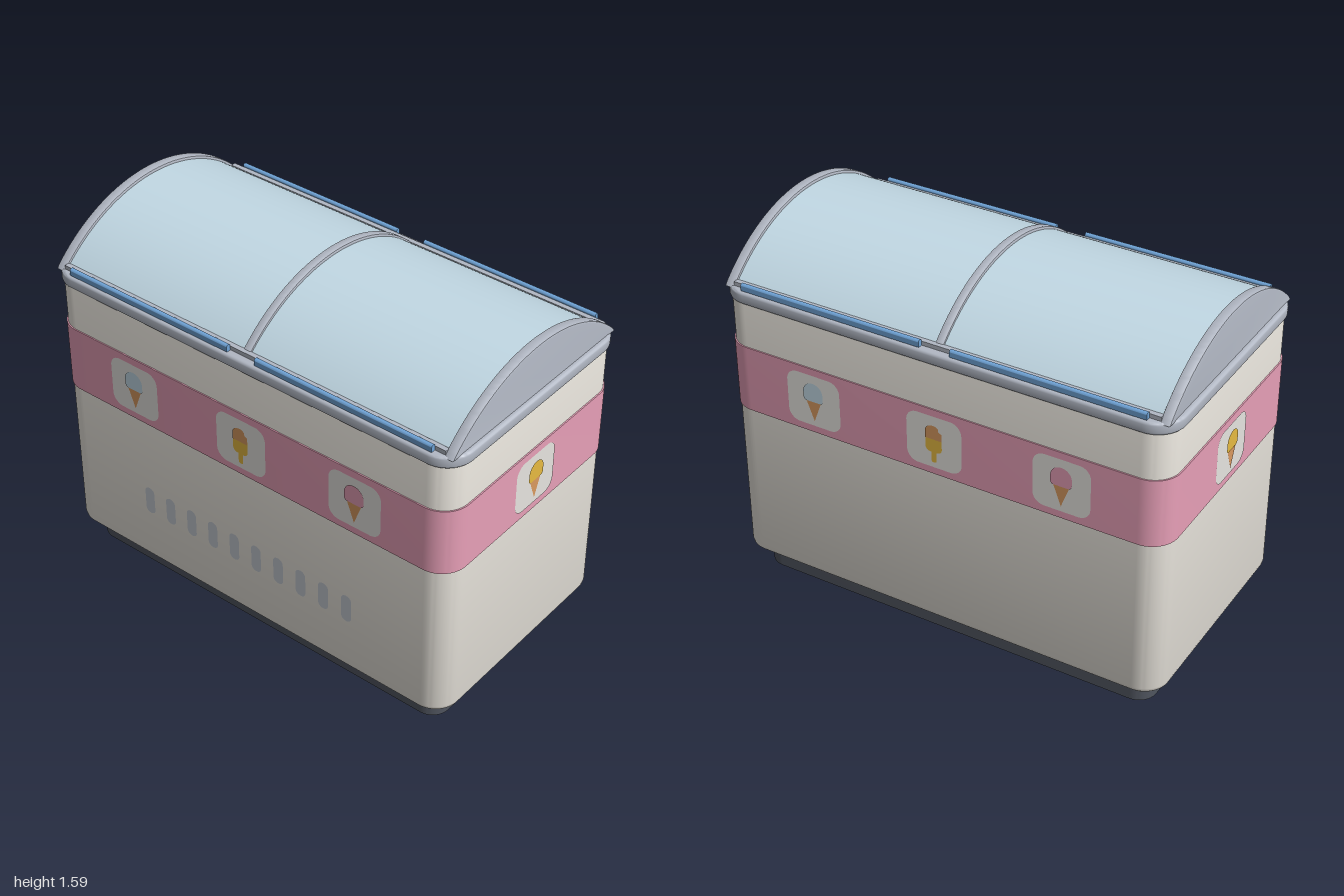
import * as THREE from 'three';
import { toCreasedNormals } from 'three/addons/utils/BufferGeometryUtils.js';

const paint = (name, color) => {
  const m = new THREE.MeshStandardMaterial({ color });
  m.name = name;
  return m;
};

// Rectangle with rounded corners, centred on (0, cy)
function roundedRect(w, h, r, cy = 0) {
  const s = new THREE.Shape(), x = w / 2, y = h / 2;
  s.absarc(x - r, cy + y - r, r, 0, Math.PI / 2);
  s.absarc(-x + r, cy + y - r, r, Math.PI / 2, Math.PI);
  s.absarc(-x + r, cy - y + r, r, Math.PI, Math.PI * 1.5);
  s.absarc(x - r, cy - y + r, r, Math.PI * 1.5, Math.PI * 2);
  s.closePath();
  return s;
}

// Upright block with rounded corners and softened top and bottom edges
function slab(w, d, y0, y1, r, bevel = 0) {
  const g = new THREE.ExtrudeGeometry(roundedRect(w - 2 * bevel, d - 2 * bevel, r - bevel), {
    depth: y1 - y0 - 2 * bevel, curveSegments: 8,
    bevelEnabled: bevel > 0, bevelThickness: bevel, bevelSize: bevel, bevelSegments: 3,
  });
  g.rotateX(-Math.PI / 2).translate(0, y0 + bevel, 0);
  return toCreasedNormals(g, 0.6);
}

// Circular segment across z, extruded along x
function arch(x0, x1, y0, top, half, bevel = 0) {
  const rise = top - y0 - bevel, h = half - bevel;
  const R = (h * h + rise * rise) / (2 * rise), a = Math.asin(h / R);
  const s = new THREE.Shape();
  s.absarc(0, y0 + rise - R, R, Math.PI / 2 - a, Math.PI / 2 + a);
  s.closePath();
  const g = new THREE.ExtrudeGeometry(s, {
    depth: x1 - x0 - 2 * bevel, curveSegments: 40,
    bevelEnabled: bevel > 0, bevelThickness: bevel, bevelSize: bevel, bevelSegments: 2,
  });
  g.rotateY(Math.PI / 2).translate(x0 + bevel, 0, 0);
  return toCreasedNormals(g, 0.6);
}

export function createModel() {
  const model = new THREE.Group();
  model.name = 'iceCreamFreezer';
  const cream = paint('cream', 0xe8e4dc), pink = paint('pink', 0xe8a0b8);
  const charcoal = paint('charcoal', 0x50555f), grey = paint('frameGrey', 0xb2b8c4);
  const glass = paint('paleBlueGlass', 0xc3dae6), blue = paint('handleBlue', 0x6fa3d6);
  const white = paint('panelWhite', 0xeceae5), yellow = paint('yellow', 0xeec044);
  const waffle = paint('waffle', 0xda9a60), ventGrey = paint('ventGrey', 0xc6ccd4);

  const add = (name, geometry, material, parent = model) => {
    const m = new THREE.Mesh(geometry, material);
    m.name = name;
    parent.add(m);
    return m;
  };

  // Cabinet
  add('plinth', slab(1.84, 0.94, 0, 0.12, 0.08), charcoal);
  add('cabinet', slab(1.976, 1.076, 0.1, 1.355, 0.11, 0.03), cream);
  add('colourBand', slab(1.988, 1.086, 0.827, 1.125, 0.115), pink);
  add('rim', slab(2, 1.09, 1.323, 1.376, 0.12, 0.012), grey);

  // Curved lid: glass, end panels and centre rib
  for (const s of [-1, 1]) {
    const side = s > 0 ? 'left' : 'right';
    add(side + 'Glass', arch(s > 0 ? 0.01 : -0.94, s > 0 ? 0.94 : -0.01, 1.375, 1.579, 0.503), glass);
    add(side + 'EndPanel', arch(s * 0.958 - 0.022, s * 0.958 + 0.022, 1.372, 1.592, 0.517, 0.006), grey);
  }
  add('centreRib', arch(-0.019, 0.019, 1.372, 1.592, 0.512, 0.006), grey);

  // Lid rails and long handles on both long sides
  for (const s of [-1, 1]) {
    const end = s > 0 ? 'front' : 'back';
    const rail = add(end + 'Rail', new THREE.BoxGeometry(1.88, 0.022, 0.022), grey);
    rail.position.set(0, 1.383, s * 0.5);
    for (const x of [-0.48, 0.48]) {
      const bar = new THREE.ExtrudeGeometry(roundedRect(0.02, 0.034, 0.008), { depth: 0.825, bevelEnabled: false, curveSegments: 4 });
      bar.rotateY(Math.PI / 2).translate(-0.4125, 0, 0);
      add(end + 'Handle', toCreasedNormals(bar, 0.6), blue).position.set(x, 1.389, s * 0.522);
    }
  }

  // Picture panels
  const flat = (name, shape, material, z, parent) =>
    add(name, new THREE.ShapeGeometry(shape, 16), material, parent).position.z = z;
  const polygon = (...pts) => new THREE.Shape(pts.map(([x, y]) => new THREE.Vector2(x, y)));

  function panel(parent, x, z) {
    const g = new THREE.Group();
    g.name = 'picturePanel';
    g.position.set(x, 0.978, z);
    parent.add(g);
    flat('panelPlate', roundedRect(0.248, 0.235, 0.05), white, 0, g);
    return g;
  }
  function cone(g, scoopColour) {
    flat('cone', polygon([-0.037, 0.005], [0, -0.093], [0.037, 0.005]), waffle, 0.002, g);
    const scoop = new THREE.Shape();
    scoop.absarc(0, 0.038, 0.046, 0, Math.PI);
    scoop.lineTo(-0.046, 0.016);
    scoop.quadraticCurveTo(-0.046, -0.002, -0.03, -0.002);
    scoop.lineTo(0.03, -0.002);
    scoop.quadraticCurveTo(0.046, -0.002, 0.046, 0.016);
    scoop.closePath();
    flat('scoop', scoop, scoopColour, 0.004, g);
  }
  function lolly(g) {
    flat('stick', roundedRect(0.022, 0.07, 0.008, -0.058), yellow, 0.002, g);
    flat('ice', roundedRect(0.074, 0.1, 0.022, 0.005), yellow, 0.003, g);
    // Dipped top with a bite taken out of one corner
    const dip = new THREE.Shape();
    dip.moveTo(-0.037, 0.015);
    dip.lineTo(0.037, 0.015);
    dip.lineTo(0.037, 0.05);
    dip.quadraticCurveTo(0.02, 0.05, 0.022, 0.068);
    dip.quadraticCurveTo(0.008, 0.082, -0.01, 0.076);
    dip.quadraticCurveTo(-0.037, 0.07, -0.037, 0.045);
    dip.closePath();
    flat('dippedTop', dip, waffle, 0.004, g);
  }

  for (const [name, turn] of [['front', 0], ['back', Math.PI]]) {
    const face = new THREE.Group();
    face.name = name + 'Pictures';
    face.rotation.y = turn;
    model.add(face);
    cone(panel(face, -0.56, 0.546), glass);
    lolly(panel(face, 0, 0.546));
    cone(panel(face, 0.56, 0.546), pink);
  }
  for (const [name, turn] of [['left', Math.PI / 2], ['right', -Math.PI / 2]]) {
    const face = new THREE.Group();
    face.name = name + 'Picture';
    face.rotation.y = turn;
    model.add(face);
    cone(panel(face, 0, 0.9965), yellow);
  }

  // Row of front vents
  for (let i = 0; i < 10; i++) {
    const vent = add('vent', new THREE.ShapeGeometry(roundedRect(0.05, 0.132, 0.024), 8), ventGrey);
    vent.position.set((i - 4.5) * 0.1155, 0.42, 0.541);
  }
  return model;
}
